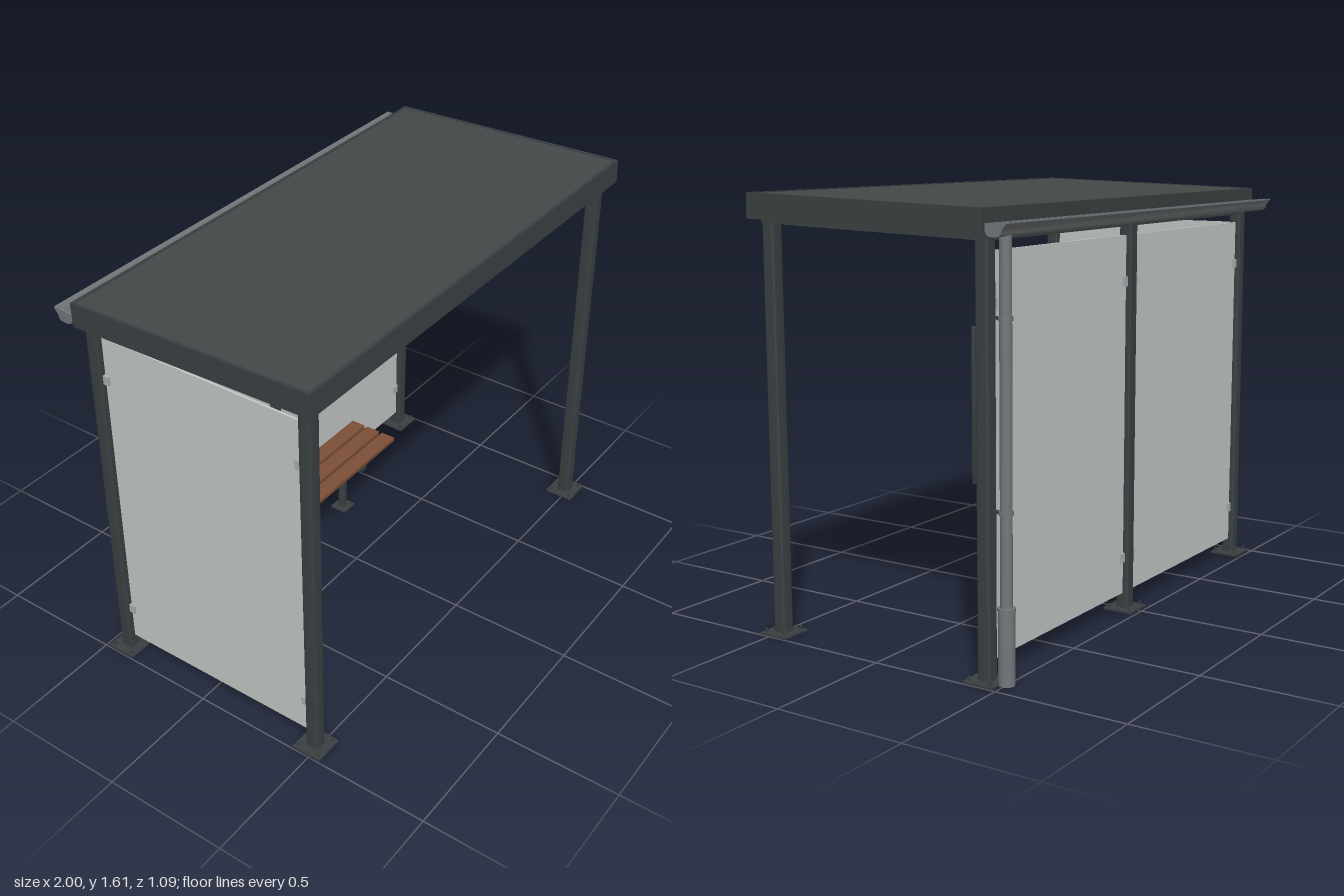
import * as THREE from 'three';
import { toCreasedNormals } from 'three/addons/utils/BufferGeometryUtils.js';

export function createModel() {
  const mat = (name, color) => {
    const m = new THREE.MeshStandardMaterial({ color });
    m.name = name;
    return m;
  };
  const steel = mat('dark steel', 0x3a4042);
  const roofMat = mat('roof sheet', 0x434948);
  const glass = mat('pale glass', 0xc3c9c6);
  const wood = mat('bench wood', 0x7d4f38);
  const zinc = mat('zinc grey', 0x74787b);
  const clipMat = mat('clip metal', 0xa9aeae);

  const model = new THREE.Group();
  model.name = 'busShelter';

  const add = (parent, name, geo, m, x = 0, y = 0, z = 0) => {
    const mesh = new THREE.Mesh(geo, m);
    mesh.name = name;
    mesh.position.set(x, y, z);
    parent.add(mesh);
    return mesh;
  };
  const box = (parent, name, m, w, h, d, x, y, z) =>
    add(parent, name, new THREE.BoxGeometry(w, h, d), m, x, y, z);
  const cyl = (parent, name, m, r, h, x, y, z, seg = 20) =>
    add(parent, name, new THREE.CylinderGeometry(r, r, h, seg), m, x, y, z);

  // Rounded rectangle outline, centred on the origin
  const roundRect = (w, h, r) => {
    const s = new THREE.Shape(), a = w / 2 - r, b = h / 2 - r;
    s.absarc(a, b, r, 0, Math.PI / 2);
    s.absarc(-a, b, r, Math.PI / 2, Math.PI);
    s.absarc(-a, -b, r, Math.PI, Math.PI * 1.5);
    s.absarc(a, -b, r, Math.PI * 1.5, Math.PI * 2);
    s.closePath();
    return s;
  };
  const extrude = (shape, depth) => toCreasedNormals(
    new THREE.ExtrudeGeometry(shape, { depth, bevelEnabled: false, curveSegments: 5 }), 0.6);
  // Upright hollow-section tube standing on its origin
  const tube = (w, d, h) => extrude(roundRect(w, d, 0.007), h).rotateX(-Math.PI / 2);

  // Posts with base plates and anchor bolts
  const footing = (parent, size, bolt) => {
    box(parent, 'basePlate', steel, size, 0.008, size, 0, 0.004, 0);
    for (const i of [-1, 1]) for (const j of [-1, 1])
      cyl(parent, 'anchorBolt', steel, bolt, bolt * 2.4, i * size * 0.37, 0.008 + bolt * 1.2, j * size * 0.37, 6);
  };
  const FRONT = 0.485, BACK = -0.425, SIDE = 0.935;
  for (const [x, z, h] of [[-SIDE, FRONT, 1.52], [SIDE, FRONT, 1.52],
    [-SIDE, BACK, 1.495], [0, BACK, 1.495], [SIDE, BACK, 1.495]]) {
    const post = new THREE.Group();
    post.name = 'post';
    post.position.set(x, 0, z);
    add(post, 'postTube', tube(0.05, 0.05, h), steel);
    footing(post, 0.12, 0.006);
    model.add(post);
  }

  // Glass walls: two at the back, one at the right end
  const paneH = 1.375, paneY = 0.0675 + paneH / 2;
  for (const s of [-1, 1])
    box(model, 'backGlass', glass, 0.885, paneH, 0.009, s * 0.4675, paneY, BACK);
  box(model, 'sideGlass', glass, 0.009, paneH, 0.85, -SIDE, paneY, 0.03);

  // Glass clips
  for (const y of [0.21, 1.27]) {
    for (const x of [-0.898, -0.037, 0.037, 0.898])
      box(model, 'glassClip', clipMat, 0.026, 0.036, 0.026, x, y, BACK);
    for (const z of [0.447, -0.387])
      box(model, 'glassClip', clipMat, 0.026, 0.036, 0.026, -SIDE, y, z);
  }

  // Roof, tilted to drain towards the back
  const roof = new THREE.Group();
  roof.name = 'roof';
  roof.position.set(0, 1.597, 0.04);
  roof.rotation.x = -0.027;
  model.add(roof);
  box(roof, 'roofDeck', roofMat, 1.98, 0.03, 0.985, 0, -0.018, 0);
  for (const s of [-1, 1]) {
    box(roof, 'longFascia', steel, 2, 0.092, 0.012, 0, -0.046, s * 0.496);
    box(roof, 'endFascia', steel, 0.012, 0.092, 0.98, s * 0.994, -0.046, 0);
    box(roof, 'endBeam', steel, 0.05, 0.074, 0.86, s * SIDE, -0.07, -0.01);
  }
  for (const z of [FRONT, BACK])
    box(roof, 'longBeam', steel, 1.92, 0.074, 0.05, 0, -0.07, z - 0.04);

  // Gutter: open trough with an outward lip, closed at both ends
  const gutterLength = 1.985, gx = -0.995;
  const trough = new THREE.Shape();
  trough.moveTo(0.463, 1.535);
  trough.lineTo(0.463, 1.515);
  trough.quadraticCurveTo(0.466, 1.492, 0.49, 1.492);
  trough.lineTo(0.508, 1.492);
  trough.quadraticCurveTo(0.527, 1.495, 0.528, 1.515);
  trough.lineTo(0.545, 1.535);
  trough.lineTo(0.545, 1.54);
  trough.lineTo(0.539, 1.54);
  const cap = trough.clone();
  cap.closePath();
  trough.lineTo(0.523, 1.517);
  trough.quadraticCurveTo(0.521, 1.498, 0.508, 1.497);
  trough.lineTo(0.49, 1.497);
  trough.quadraticCurveTo(0.47, 1.498, 0.468, 1.515);
  trough.lineTo(0.468, 1.535);
  trough.closePath();
  add(model, 'gutter', extrude(trough, gutterLength).rotateY(Math.PI / 2), zinc, gx);
  for (const x of [gx - 0.003, gx + gutterLength - 0.003])
    add(model, 'gutterCap', extrude(cap, 0.006).rotateY(Math.PI / 2), zinc, x);

  // Downpipe with lower sleeve and wall brackets
  const px = 0.93, pz = -0.5;
  cyl(model, 'downpipe', zinc, 0.021, 1.5, px, 0.75, pz);
  cyl(model, 'downpipeSleeve', zinc, 0.029, 0.265, px, 0.1335, pz);
  cyl(model, 'sleeveCollar', zinc, 0.031, 0.012, px, 0.264, pz);
  for (const y of [0.59, 1.23]) {
    cyl(model, 'pipeRing', zinc, 0.025, 0.014, px, y, pz);
    box(model, 'pipeBracket', steel, 0.014, 0.01, 0.04, px, y, -0.463);
  }

  // Poster case on the back wall
  const caseW = 0.35, caseH = 0.53;
  const poster = new THREE.Group();
  poster.name = 'posterCase';
  poster.position.set(0.725, 0.925, -0.397);
  const frame = roundRect(caseW, caseH, 0.008);
  frame.holes.push(roundRect(caseW - 0.028, caseH - 0.028, 0.003));
  add(poster, 'posterFrame', extrude(frame, 0.053), steel);
  box(poster, 'posterBack', steel, caseW - 0.02, caseH - 0.02, 0.006, 0, 0, 0.004);
  box(poster, 'posterGlass', glass, caseW - 0.026, caseH - 0.026, 0.006, 0, 0, 0.045);
  model.add(poster);

  // Bench: three slats on two T-shaped supports
  const bench = new THREE.Group();
  bench.name = 'bench';
  model.add(bench);
  for (const z of [-0.17, -0.249, -0.328])
    add(bench, 'benchSlat', extrude(roundRect(0.066, 0.02, 0.003), 1.275).rotateY(Math.PI / 2), wood, -0.8, 0.285, z);
  for (const x of [-0.61, 0.255]) {
    const support = new THREE.Group();
    support.name = 'benchSupport';
    support.position.set(x, 0, -0.257);
    add(support, 'benchLeg', tube(0.028, 0.03, 0.255), steel);
    box(support, 'benchArm', steel, 0.034, 0.023, 0.23, 0, 0.2635, 0.002);
    footing(support, 0.074, 0.003);
    bench.add(support);
  }

  return model;
}
